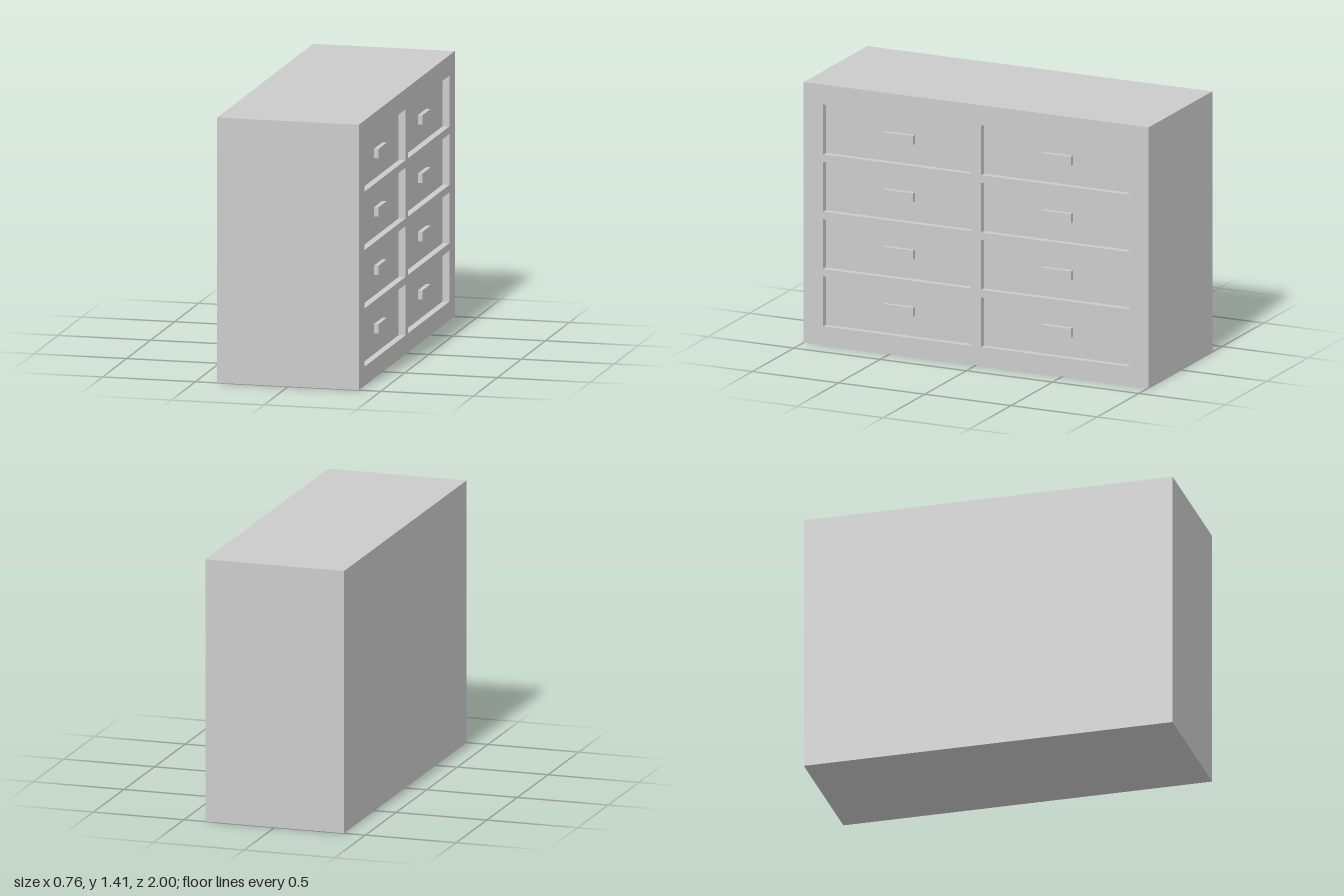
import * as THREE from 'three';

// Overall size: depth along x, width along z; the drawers face +x
const DEPTH = 0.764, HEIGHT = 1.414, WIDTH = 2;
const FRAME = 0.06, RECESS = 0.036;
const DRAWER_W = 0.857, DRAWER_H = 0.271;
const HANDLE_W = 0.172, HANDLE_H = 0.05, HANDLE_D = 0.024;
const COLUMNS = [-0.457, 0.459];
const ROWS = [0, 1, 2, 3].map((i) => 0.237 + i * 0.311);

const material = new THREE.MeshStandardMaterial({ color: 0xcccccc });

function addBox(parent, name, size, position) {
  const mesh = new THREE.Mesh(new THREE.BoxGeometry(...size), material);
  mesh.name = name;
  mesh.position.set(...position);
  parent.add(mesh);
}

function rectangle(path, cx, cy, w, h) {
  path.moveTo(cx - w / 2, cy - h / 2);
  path.lineTo(cx + w / 2, cy - h / 2);
  path.lineTo(cx + w / 2, cy + h / 2);
  path.lineTo(cx - w / 2, cy + h / 2);
  path.closePath();
  return path;
}

export function createModel() {
  const group = new THREE.Group();
  group.name = 'chestOfDrawers';
  const faceX = DEPTH / 2;
  const frameBack = faceX - FRAME;

  // Solid carcass behind the face frame
  addBox(group, 'carcass', [DEPTH - FRAME, HEIGHT, WIDTH], [-FRAME / 2, HEIGHT / 2, 0]);

  // Face frame with one opening per drawer (shape x becomes -z)
  const outline = rectangle(new THREE.Shape(), 0, HEIGHT / 2, WIDTH, HEIGHT);
  for (const z of COLUMNS) {
    for (const y of ROWS) {
      outline.holes.push(rectangle(new THREE.Path(), -z, y, DRAWER_W, DRAWER_H));
    }
  }
  const frameGeometry = new THREE.ExtrudeGeometry(outline, { depth: FRAME, bevelEnabled: false });
  frameGeometry.rotateY(Math.PI / 2);
  const frame = new THREE.Mesh(frameGeometry, material);
  frame.name = 'faceFrame';
  frame.position.x = frameBack;
  group.add(frame);

  // Recessed drawer fronts, each with a small block handle
  const panel = FRAME - RECESS;
  for (const z of COLUMNS) {
    for (const y of ROWS) {
      const drawer = new THREE.Group();
      drawer.name = 'drawer';
      drawer.position.set(frameBack, y, z);
      addBox(drawer, 'drawerFront', [panel, DRAWER_H, DRAWER_W], [panel / 2, 0, 0]);
      addBox(drawer, 'handle', [HANDLE_D, HANDLE_H, HANDLE_W], [panel + HANDLE_D / 2, 0, 0]);
      group.add(drawer);
    }
  }
  return group;
}
